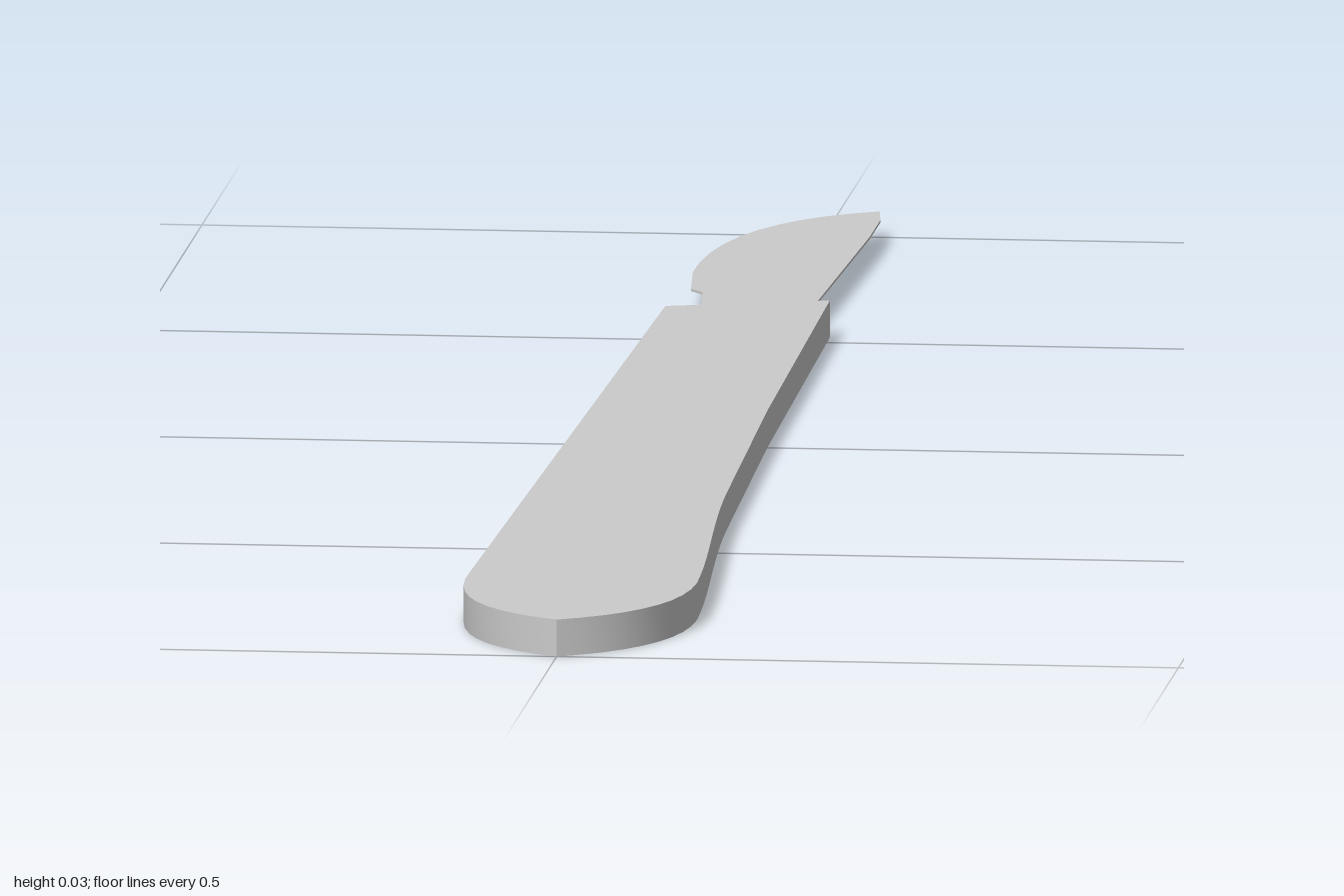
import * as THREE from 'three';
import { toCreasedNormals } from 'three/addons/utils/BufferGeometryUtils.js';

// Extrudes a plan outline (x, -z) upward from height y
function plate(name, shape, y, thickness) {
  let geo = new THREE.ExtrudeGeometry(shape, { depth: thickness, bevelEnabled: false, curveSegments: 10 });
  geo.rotateX(-Math.PI / 2);
  geo.translate(0, y, 0);
  geo = toCreasedNormals(geo, 0.5);
  const mesh = new THREE.Mesh(geo, new THREE.MeshStandardMaterial({ color: 0xcccccc }));
  mesh.name = name;
  return mesh;
}

export function createModel() {
  const group = new THREE.Group();
  group.name = 'scalpel';

  // Handle: slanted collar end, flared and rounded butt with a blunt point
  const handle = new THREE.Shape();
  handle.moveTo(-0.072, 0.485);
  handle.lineTo(-0.093, -0.78);
  handle.bezierCurveTo(-0.098, -0.9, -0.065, -0.965, 0, -1);
  handle.bezierCurveTo(0.065, -0.965, 0.1, -0.9, 0.092, -0.78);
  handle.bezierCurveTo(0.088, -0.66, 0.074, -0.52, 0.071, -0.38);
  handle.lineTo(0.062, 0);
  handle.lineTo(0.056, 0.525);
  handle.closePath();
  group.add(plate('handle', handle, 0, 0.03));

  // Blade: straight spine, curved belly, stepped neck entering the handle
  const blade = new THREE.Shape();
  blade.moveTo(0.039, 0.5);
  blade.lineTo(0.05, 0.88);
  blade.lineTo(0.05, 0.96);
  blade.lineTo(0.045, 1);
  blade.bezierCurveTo(-0.03, 0.965, -0.075, 0.87, -0.073, 0.7);
  blade.lineTo(-0.066, 0.62);
  blade.lineTo(-0.055, 0.605);
  blade.lineTo(-0.043, 0.48);
  blade.closePath();
  group.add(plate('blade', blade, 0.019, 0.002));

  return group;
}
